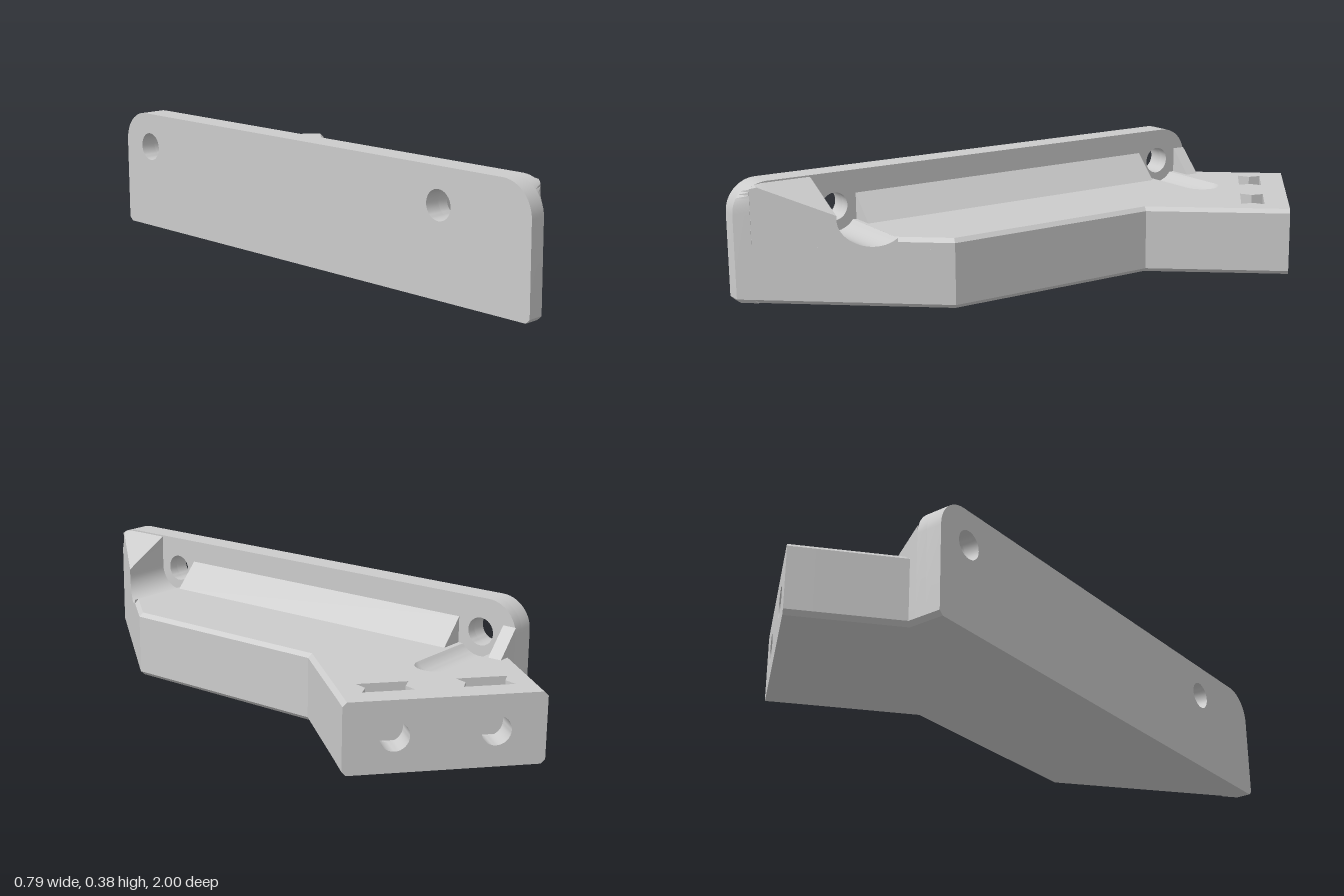
import * as THREE from 'three';
import { toCreasedNormals } from 'three/addons/utils/BufferGeometryUtils.js';

const CH = 0.013;                 // edge chamfer
const INNER = -0.315;             // inner face of the wall
const R = 0.08;                   // screw channel radius
const AXIS_Y = 0.27, FRONT_Z = 0.675, BACK_Z = -0.615;
const U = [0.763, 0.646];         // along the angled end face
const N = [0.646, -0.763];        // outward from the angled end face
const END_W = 0.603, END_T = 0.08;

// x of the diagonal front cut at a given z, and its inverse
const cutX = z => -0.35 + (1 - z) / 1.182;
const cutZ = x => 1 - (x + 0.35) * 1.182;
// point on the angled end: u along the face, d inward from it
const endPoint = (u, d) => [-0.07 + U[0] * u - N[0] * d, -1 + U[1] * u - N[1] * d];

const arc = (cx, cy, r, a0, a1, n) => Array.from({ length: n + 1 }, (_, i) => {
  const a = a0 + (a1 - a0) * i / n;
  return [cx + r * Math.cos(a), cy + r * Math.sin(a)];
});

// move chosen edges of an [x, z] outline inwards
function inset(pts, edges, d) {
  const n = pts.length;
  const normal = i => {
    const a = pts[i], b = pts[(i + 1) % n];
    const dx = b[0] - a[0], dz = b[1] - a[1], l = Math.hypot(dx, dz);
    return [dz / l, -dx / l];
  };
  return pts.map((p, i) => {
    const h = (i + n - 1) % n, a = normal(h), b = normal(i);
    const da = edges.includes(h) ? d : 0, db = edges.includes(i) ? d : 0;
    const det = a[0] * b[1] - a[1] * b[0];
    if (Math.abs(det) < 0.01) return [p[0] + a[0] * da, p[1] + a[1] * da];
    return [p[0] + (da * b[1] - db * a[1]) / det, p[1] + (a[0] * db - b[0] * da) / det];
  });
}

// closed solid through stacked [outline, y] rings
function stack(rings) {
  const pos = [];
  const put = (ring, i) => pos.push(ring[0][i][0], ring[1], ring[0][i][1]);
  const n = rings[0][0].length;
  for (let k = 0; k + 1 < rings.length; k++) {
    const lo = rings[k], hi = rings[k + 1];
    for (let i = 0; i < n; i++) {
      const j = (i + 1) % n;
      put(lo, i); put(lo, j); put(hi, j);
      put(lo, i); put(hi, j); put(hi, i);
    }
  }
  const cap = (ring, up) => {
    const flat = ring[0].map(([x, z]) => new THREE.Vector2(x, -z));
    for (const t of THREE.ShapeUtils.triangulateShape(flat, []))
      (up ? t : [t[2], t[1], t[0]]).forEach(i => put(ring, i));
  };
  cap(rings[0], false);
  cap(rings[rings.length - 1], true);
  const g = new THREE.BufferGeometry();
  g.setAttribute('position', new THREE.Float32BufferAttribute(pos, 3));
  g.computeVertexNormals();
  return g;
}

const polygon = (pts, holes = []) => {
  const s = new THREE.Shape(pts.map(p => new THREE.Vector2(...p)));
  for (const [x, y, r] of holes) s.holes.push(new THREE.Path().absarc(x, y, r, 0, Math.PI * 2, true));
  return s;
};

// extrude a [z, y] profile along x, then move its vertices by a rule
function alongX(profile, x0, x1, holes = [], rule = null) {
  const shape = polygon(profile.map(([z, y]) => [-z, y]), holes.map(([z, y, r]) => [-z, y, r]));
  const g = new THREE.ExtrudeGeometry(shape, { depth: x1 - x0, bevelEnabled: false, curveSegments: 16 });
  g.rotateY(Math.PI / 2).translate(x0, 0, 0);
  const p = g.attributes.position;
  if (rule) for (let i = 0; i < p.count; i++) p.setXYZ(i, ...rule(p.getX(i), p.getY(i), p.getZ(i)));
  g.computeVertexNormals();
  return toCreasedNormals(g, 0.5);
}

export function createModel() {
  const model = new THREE.Group();
  model.name = 'angledBracket';
  const grey = new THREE.MeshStandardMaterial({ color: 0xcccccc, side: THREE.DoubleSide });
  const add = (name, geometry) => {
    const m = new THREE.Mesh(geometry, grey);
    m.name = name;
    model.add(m);
    return m;
  };

  // base body: plain floor, pocketed middle, top with the screw channels left open
  const pocket = u => [[0.078, END_T], [0.06, 0.118], [0.078, 0.157], [-0.078, 0.157], [-0.06, 0.118], [-0.078, END_T]]
    .map(([du, d]) => endPoint(u + du, d));
  const pockets = [...pocket(0.45), ...pocket(0.15)];
  const side = [[0.09, 0.48], [0.09, -0.25], endPoint(END_W, END_T)];
  const tail = [endPoint(0, END_T), [-0.29, -0.74], [INNER, -0.74]];
  const floor = [[INNER, cutZ(INNER)], ...side, ...tail];
  add('baseFloor', stack([[inset(floor, [0, 1, 2, 4, 5], CH), 0], [floor, CH], [floor, 0.04]]));

  const middle = [[INNER, cutZ(INNER)], ...side, ...pockets, ...tail];
  add('baseMiddle', stack([[middle, 0.04], [middle, 0.185]]));

  const half = Math.sqrt(R * R - 0.05 * 0.05);
  const slot = arc(-0.065, BACK_Z, half, -Math.PI / 2, Math.PI / 2, 16);
  const top = [[INNER, FRONT_Z - half], [cutX(FRONT_Z - half), FRONT_Z - half], ...side, ...pockets, ...tail,
    [INNER, BACK_Z - half], ...slot, [INNER, BACK_Z + half]];
  const leftEdge = 5 + pockets.length;
  add('baseTop', stack([[top, 0.185], [top, 0.22 - CH], [inset(top, [1, 2, 3, leftEdge], CH), 0.22]]));

  // angled end plate with two bolt holes leading into the nut pockets
  const plate = polygon([[-CH, 0], [0, CH], [0, 0.22 - CH], [-CH, 0.22],
    [CH - END_W, 0.22], [-END_W, 0.22 - CH], [-END_W, CH], [CH - END_W, 0]].reverse(),
  [[-0.15, 0.11, 0.045], [-0.45, 0.11, 0.045]]);
  const end = add('endPlate', toCreasedNormals(
    new THREE.ExtrudeGeometry(plate, { depth: END_T, bevelEnabled: false, curveSegments: 16 }), 0.5));
  const [ex, ez] = endPoint(0, END_T);
  end.position.set(ex, 0, ez);
  end.rotation.y = Math.atan2(N[0], N[1]);

  // upright wall with rounded top corners, its front end cut by the diagonal
  const wall = [[-0.74 + CH, 0], [1 - CH, 0], [1, CH],
    ...arc(0.9, 0.28, 0.1, 0, Math.PI / 2, 12),
    ...arc(-0.64, 0.28, 0.1, Math.PI / 2, Math.PI, 12), [-0.74, CH]];
  const screws = [[FRONT_Z, AXIS_Y, 0.045], [BACK_Z, AXIS_Y, 0.045]];
  add('wall', alongX(wall, -0.4, -0.35, screws));
  add('wallInner', alongX(wall, -0.35, INNER, screws,
    (x, y, z) => [x, y, Math.min(z, cutZ(x) - (y < 0.001 ? CH : 0))]));

  // front gusset and screw channel, sloping down to the diagonal cut
  const dip = Math.asin(0.05 / R);
  const gusset = [[FRONT_Z - half, 0.185], [0.958, 0.185], [0.958, 0.361], [0.94, 0.372], [0.92, 0.378],
    [0.9, 0.38], [FRONT_Z + R, 0.38], ...arc(FRONT_Z, AXIS_Y, R, 0, -Math.PI + dip, 20)];
  add('frontGusset', alongX(gusset, INNER, 0, [], (x, y, z) => {
    const nx = x < -0.2 ? INNER : cutX(z);
    return [nx, Math.min(y, 0.375 - 0.53 * (nx - INNER)), z];
  }));

  // back screw channel with a round end
  add('backChannel', alongX([[BACK_Z - half, 0.185], [BACK_Z + half, 0.185],
    ...arc(BACK_Z, AXIS_Y, R, -dip, -Math.PI + dip, 16)], INNER, -0.065));
  const open = Math.acos(0.05 / R);
  add('backChannelEnd', new THREE.SphereGeometry(R, 16, 8, Math.PI / 2, Math.PI, Math.PI - open, open))
    .position.set(-0.065, AXIS_Y, BACK_Z);

  // sloped fillet between wall and base, interrupted by the back channel
  for (const [z0, z1] of [[BACK_Z + R, 0.6], [-0.74, BACK_Z - R]]) {
    const g = new THREE.ExtrudeGeometry(polygon([[INNER, 0.215], [-0.235, 0.215], [-0.235, 0.22], [INNER, 0.305]]),
      { depth: z1 - z0, bevelEnabled: false });
    add('wallFillet', g.translate(0, 0, z0));
  }
  return model;
}
